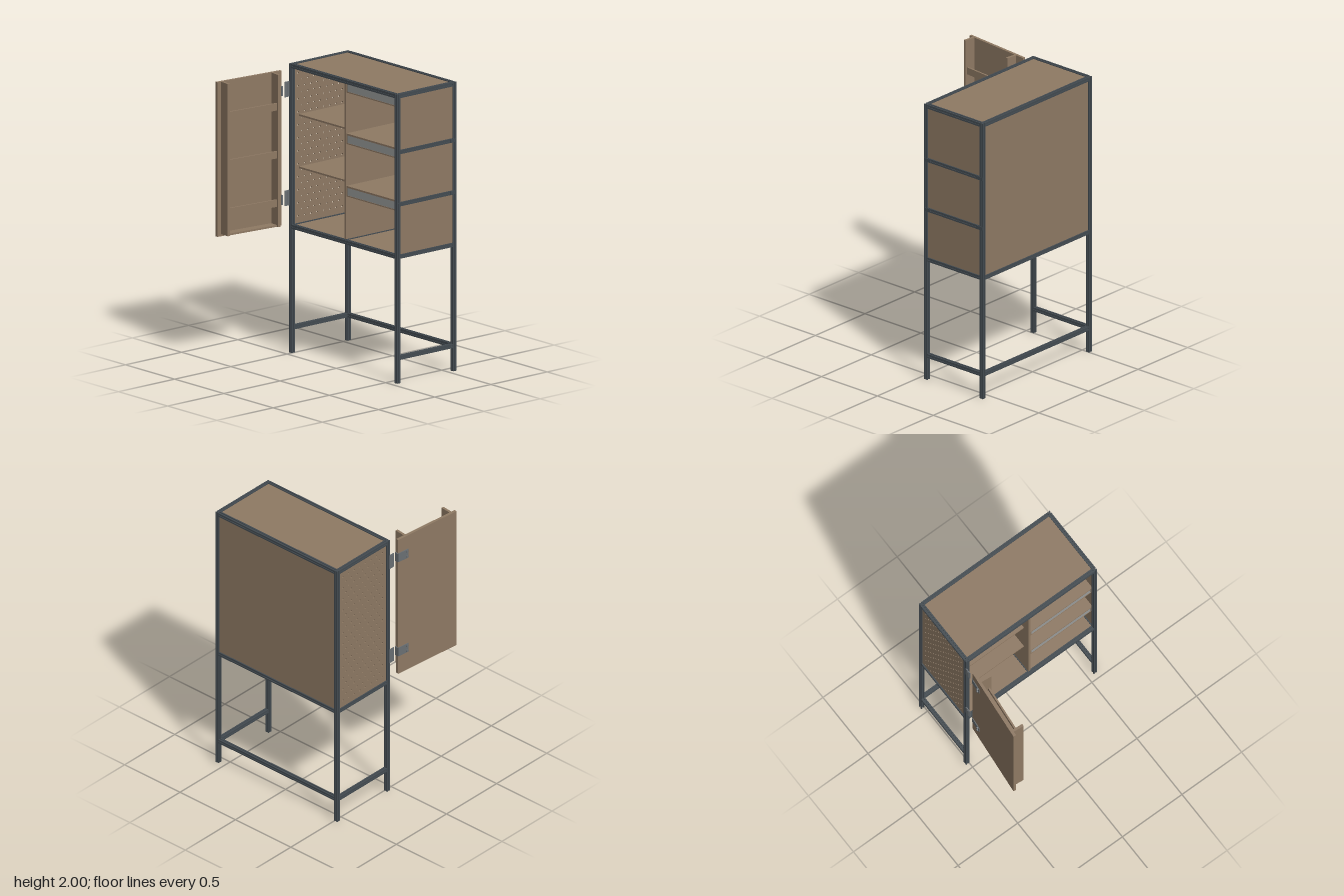
import * as THREE from 'three';

const mat = (name, color, side = THREE.FrontSide) => {
  const m = new THREE.MeshStandardMaterial({ color, side });
  m.name = name;
  return m;
};

export function createModel() {
  const root = new THREE.Group();
  root.name = 'cabinet';
  const wood = mat('brownBoard', 0x8f7a64);
  const metal = mat('darkFrame', 0x434b51);
  const steel = mat('hingeGrey', 0x6a7074);
  const pale = mat('paleGrey', 0x9a9c9b);

  const add = (parent, name, geo, material) => {
    const m = new THREE.Mesh(geo, material);
    m.name = name;
    parent.add(m);
    return m;
  };
  // box given by its limits on each axis
  const slab = (parent, name, material, [x0, x1], [y0, y1], [z0, z1]) => {
    const m = add(parent, name, new THREE.BoxGeometry(x1 - x0, y1 - y0, z1 - z0), material);
    m.position.set((x0 + x1) / 2, (y0 + y1) / 2, (z0 + z1) / 2);
    return m;
  };

  // slotted square section, one notch on every side
  const H = 0.014, S = 0.0035, D = 0.005;
  const section = new THREE.Shape();
  const side = [[-H, -H], [-S, -H], [-S, -H + D], [S, -H + D], [S, -H]];
  const pts = [];
  for (let k = 0; k < 4; k++) {
    const c = Math.round(Math.cos(k * Math.PI / 2)), s = Math.round(Math.sin(k * Math.PI / 2));
    side.forEach(([x, y]) => pts.push(new THREE.Vector2(c * x - s * y, s * x + c * y)));
  }
  section.setFromPoints(pts);
  const rail = (name, axis, from, to, a, b) => {
    const geo = new THREE.ExtrudeGeometry(section, { depth: to - from, bevelEnabled: false });
    geo.translate(0, 0, from);
    if (axis === 'x') geo.rotateY(Math.PI / 2);
    if (axis === 'y') geo.rotateX(-Math.PI / 2);
    const m = add(root, name, geo, metal);
    if (axis === 'x') m.position.set(0, a, b);
    if (axis === 'y') m.position.set(a, 0, b);
    if (axis === 'z') m.position.set(a, b, 0);
  };

  // frame: posts, then rings of rails
  const XL = -0.511, XR = 0.56, ZF = -0.053, ZB = -0.551;
  for (const x of [XL, XR]) for (const z of [ZF, ZB]) rail('post', 'y', 0, 2, x, z);
  for (const y of [0.175, 0.875, 1.986]) {
    for (const x of [XL, XR]) rail('sideRail', 'z', ZB + H, ZF - H, x, y);
    rail('backRail', 'x', XL + H, XR - H, y, ZB);
    if (y > 0.5) rail('frontRail', 'x', XL + H, XR - H, y, ZF);
  }
  rail('floorCrossRail', 'z', ZB + H, ZF - H, 0.021, 0.875);

  // rails across the closed side, with end plates
  for (const y of [1.598, 1.237]) {
    rail('sideCrossRail', 'z', ZB + H, ZF - H, XR, y);
    for (const z of [-0.535, -0.07])
      slab(root, 'railEndPlate', metal, [0.574, 0.579], [y - 0.012, y + 0.012], [z - 0.025, z + 0.025]);
  }

  // boards of the carcass
  const inX = [XL + 0.01, XR - 0.01], inZ = [ZB + 0.01, ZF - 0.01], inY = [0.885, 1.976];
  slab(root, 'topBoard', wood, inX, [1.983, 1.994], inZ);
  slab(root, 'floorBoard', wood, inX, [0.872, 0.883], inZ);
  slab(root, 'backBoard', wood, inX, inY, [-0.556, -0.545]);
  slab(root, 'sideBoard', wood, [0.554, 0.565], inY, inZ);
  slab(root, 'divider', wood, [0.013, 0.029], [0.889, 1.972], [-0.545, -0.06]);

  // perforated board on the hinge side, holes in staggered rows
  const w = inZ[1] - inZ[0], h = inY[1] - inY[0];
  const peg = new THREE.Shape([[0, 0], [w, 0], [w, h], [0, h]].map(p => new THREE.Vector2(...p)));
  for (let r = 0; r < 23; r++) {
    const odd = r % 2;
    for (let c = 0; c < 8 - odd; c++) {
      const hole = new THREE.Path();
      hole.absarc(w / 2 + (c - 3.5 + odd / 2) * 0.056, h / 2 + (r - 11) * 0.045, 0.007, 0, Math.PI * 2, true);
      peg.holes.push(hole);
    }
  }
  const pegGeo = new THREE.ExtrudeGeometry(peg, { depth: 0.01, bevelEnabled: false, curveSegments: 8 });
  pegGeo.rotateY(-Math.PI / 2);
  add(root, 'perforatedBoard', pegGeo, wood).position.set(-0.506, inY[0], inZ[0]);

  // shelves
  for (const y of [1.635, 1.272])
    slab(root, 'shelf', wood, [-0.505, 0.013], [y - 0.006, y + 0.006], [-0.545, -0.11]);
  for (const y of [1.615, 1.252])
    slab(root, 'wideShelf', wood, [0.029, 0.554], [y - 0.006, y + 0.006], [-0.545, -0.064]);

  // pale strips with thin brown edging under the shelves
  for (const y of [1.965, 1.609, 1.246]) {
    slab(root, 'paleStrip', pale, [0.04, 0.544], [y - 0.053, y], [-0.074, -0.066]);
    slab(root, 'stripEdge', wood, [0.033, 0.546], [y - 0.061, y - 0.053], [-0.078, -0.064]);
    for (const x of [0.033, 0.54])
      slab(root, 'stripEnd', wood, [x, x + 0.007], [y - 0.053, y], [-0.078, -0.064]);
  }

  // open door: board with a rack of trays on its inner face (z runs away from the hinge)
  const door = new THREE.Group();
  door.name = 'door';
  door.position.set(-0.53, 0, 0.038);
  door.rotation.y = -0.1;
  root.add(door);
  slab(door, 'doorBoard', wood, [0, 0.02], [0.896, 1.966], [0, 0.527]);
  for (const z of [0.066, 0.48])
    slab(door, 'rackUpright', wood, [0.02, 0.098], [0.912, 1.966], [z, z + 0.018]);
  for (const y of [0.912, 1.05, 1.385, 1.717]) {
    slab(door, 'rackShelf', wood, [0.02, 0.084], [y, y + 0.012], [0.084, 0.48]);
    if (y > 1) slab(door, 'rackLip', wood, [0.072, 0.084], [y + 0.012, y + 0.05], [0.084, 0.48]);
  }

  // hinges: frame plate, knuckle and door leaf
  for (const y of [1.825, 1.072]) {
    slab(root, 'hingePlate', steel, [-0.527, -0.52], [y - 0.053, y + 0.053], [-0.045, 0]);
    const pin = add(root, 'hingeKnuckle', new THREE.CylinderGeometry(0.007, 0.007, 0.09, 12), steel);
    pin.position.set(-0.524, y, -0.014);
    slab(door, 'hingeLeaf', steel, [-0.005, 0], [y - 0.034, y + 0.034], [0.002, 0.09]);
    slab(door, 'hingeTab', steel, [-0.002, 0.026], [y - 0.034, y + 0.034], [-0.006, 0.005]);
    for (const dy of [-0.02, 0.02]) {
      const bolt = add(door, 'hingeBolt', new THREE.CylinderGeometry(0.008, 0.008, 0.01, 10), steel);
      bolt.rotation.z = Math.PI / 2;
      bolt.position.set(-0.009, y + dy, 0.075);
    }
  }
  return root;
}
